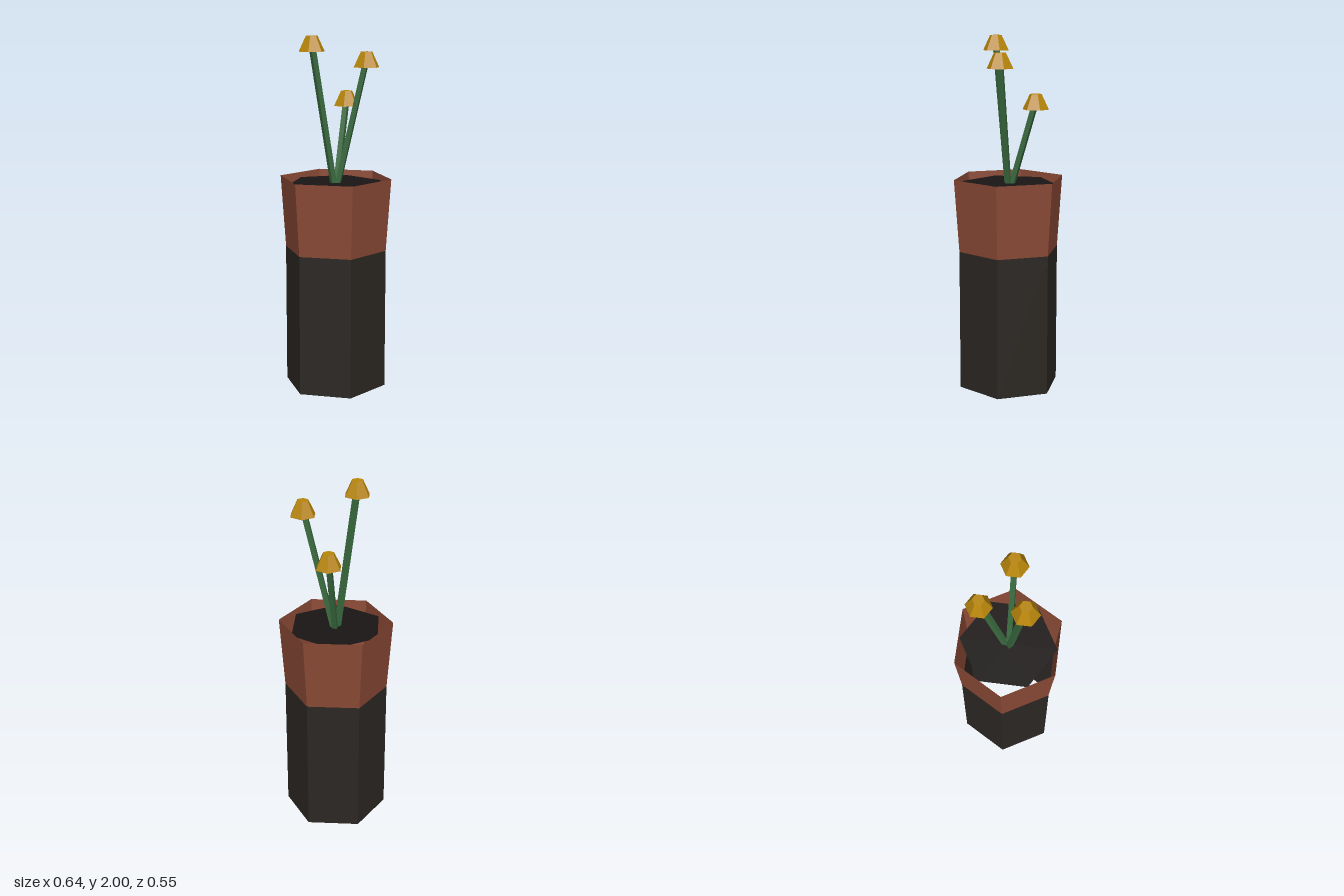
import * as THREE from 'three';

const mat = (color, side = THREE.FrontSide) =>
  new THREE.MeshStandardMaterial({ color, side, flatShading: true });

function add(parent, name, geometry, material, y = 0) {
  const mesh = new THREE.Mesh(geometry, material);
  mesh.name = name;
  mesh.position.y = y;
  parent.add(mesh);
  return mesh;
}

// Open six-sided wall with corners on the x axis
function hexWall(rTop, rBottom, y0, y1) {
  return new THREE.CylinderGeometry(rTop, rBottom, y1 - y0, 6, 1, true)
    .rotateY(Math.PI / 6).translate(0, (y0 + y1) / 2, 0);
}

export function createModel() {
  const model = new THREE.Group();
  model.name = 'flowerVase';

  // Vase: straight dark body and flared band, both thin and open
  add(model, 'vaseBody', hexWall(0.292, 0.292, 0, 0.8), mat(0x2b2723, THREE.DoubleSide));
  add(model, 'vaseBand', hexWall(0.32, 0.292, 0.8, 1.21), mat(0x8b4a35, THREE.DoubleSide));

  // Soil disc, corners on the z axis
  const soil = new THREE.CircleGeometry(0.273, 6).rotateX(-Math.PI / 2).rotateY(Math.PI / 6);
  add(model, 'soil', soil, mat(0x1a1514, THREE.DoubleSide), 1.18);

  // Flowers: square stems fanning out from one root, upright six-sided heads
  const stemMat = mat(0x3a6b3f), headMat = mat(0xb8860b);
  const headGeo = new THREE.CylinderGeometry(0.033, 0.074, 0.085, 6);
  const root = new THREE.Vector3(0, 1.11, 0);
  const tips = [[-0.14, 1.957, -0.045], [0.08, 1.871, 0.158], [0.151, 1.642, -0.054]];
  for (const tip of tips) {
    const end = new THREE.Vector3(...tip);
    const d = end.clone().sub(root);
    const flower = new THREE.Group();
    flower.name = 'flower';

    const length = d.length();
    const stemGeo = new THREE.CylinderGeometry(0.02, 0.02, length, 4)
      .rotateY(Math.PI / 4).translate(0, length / 2, 0);
    const stem = add(flower, 'stem', stemGeo, stemMat);
    stem.position.copy(root);
    stem.rotation.set(Math.atan2(Math.hypot(d.x, d.z), d.y), Math.atan2(d.x, d.z), 0, 'YXZ');

    add(flower, 'flowerHead', headGeo, headMat).position.copy(end);
    model.add(flower);
  }
  return model;
}
